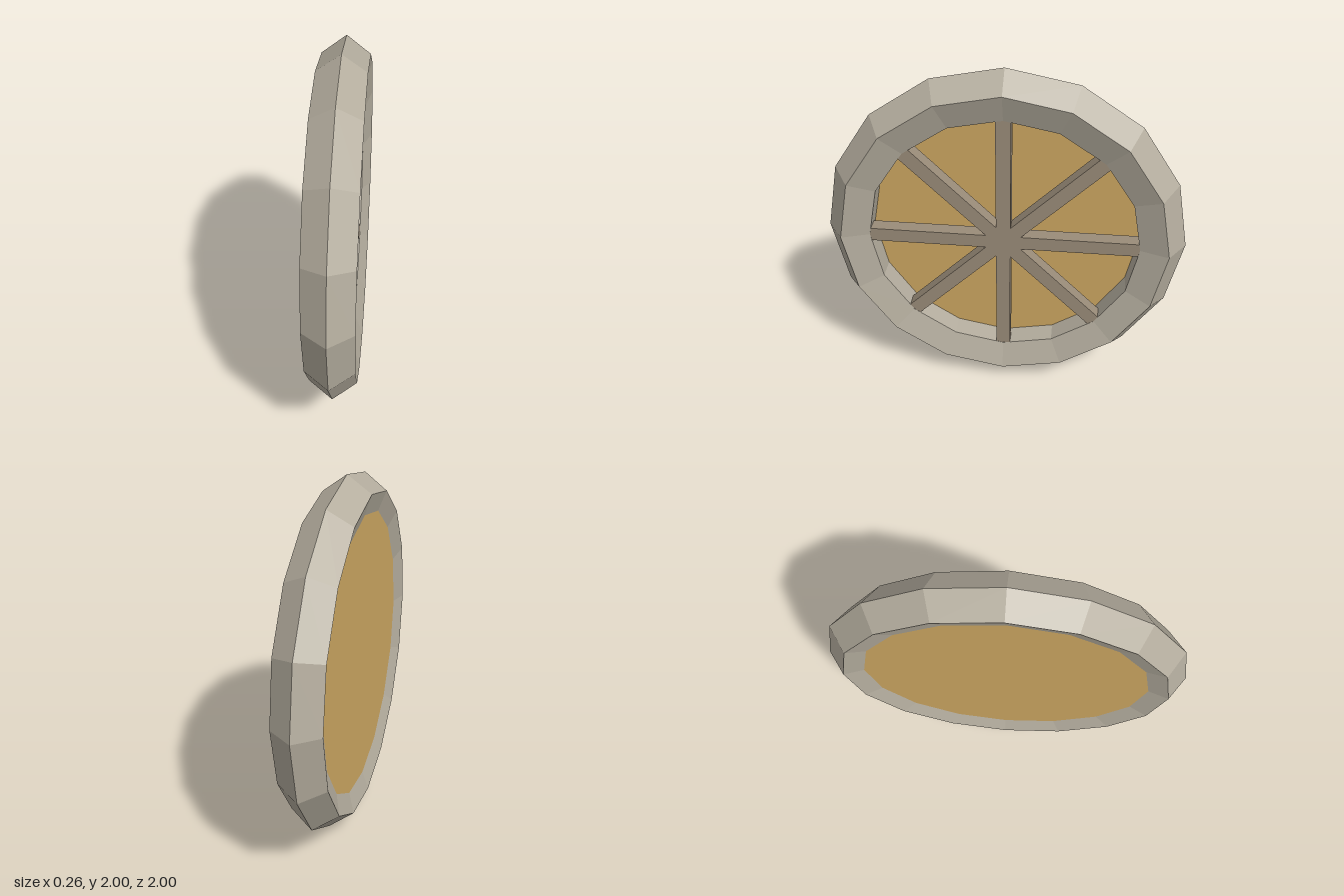
import * as THREE from 'three';

const flat = (name, color) => {
  const m = new THREE.MeshStandardMaterial({ color, flatShading: true });
  m.name = name;
  return m;
};

export function createModel() {
  const stone = flat('stone', 0xb5ae9f);
  const wood = flat('wood', 0x9a8c79);
  const amber = flat('amber', 0xcda762);

  const group = new THREE.Group();
  group.name = 'roundWindow';
  const add = (name, geometry, material) => {
    const mesh = new THREE.Mesh(geometry, material);
    mesh.name = name;
    mesh.position.y = 1;
    group.add(mesh);
    return mesh;
  };

  // Five-sided ring of sixteen segments, its axis along x
  add('frame', new THREE.TorusGeometry(0.862, 0.138, 5, 16).rotateY(Math.PI / 2), stone);

  // Pane set toward the -x side, its rim buried in the frame
  add('pane', new THREE.CylinderGeometry(0.81, 0.81, 0.05, 16)
    .rotateZ(Math.PI / 2).translate(-0.07, 0, 0), amber);

  // Four square bars crossing at the centre
  for (let i = 0; i < 4; i++) {
    const bar = add('bar' + (i + 1), new THREE.BoxGeometry(0.08, 1.54, 0.08), wood);
    bar.position.x = 0.04;
    bar.rotation.x = i * Math.PI / 4;
  }
  return group;
}
